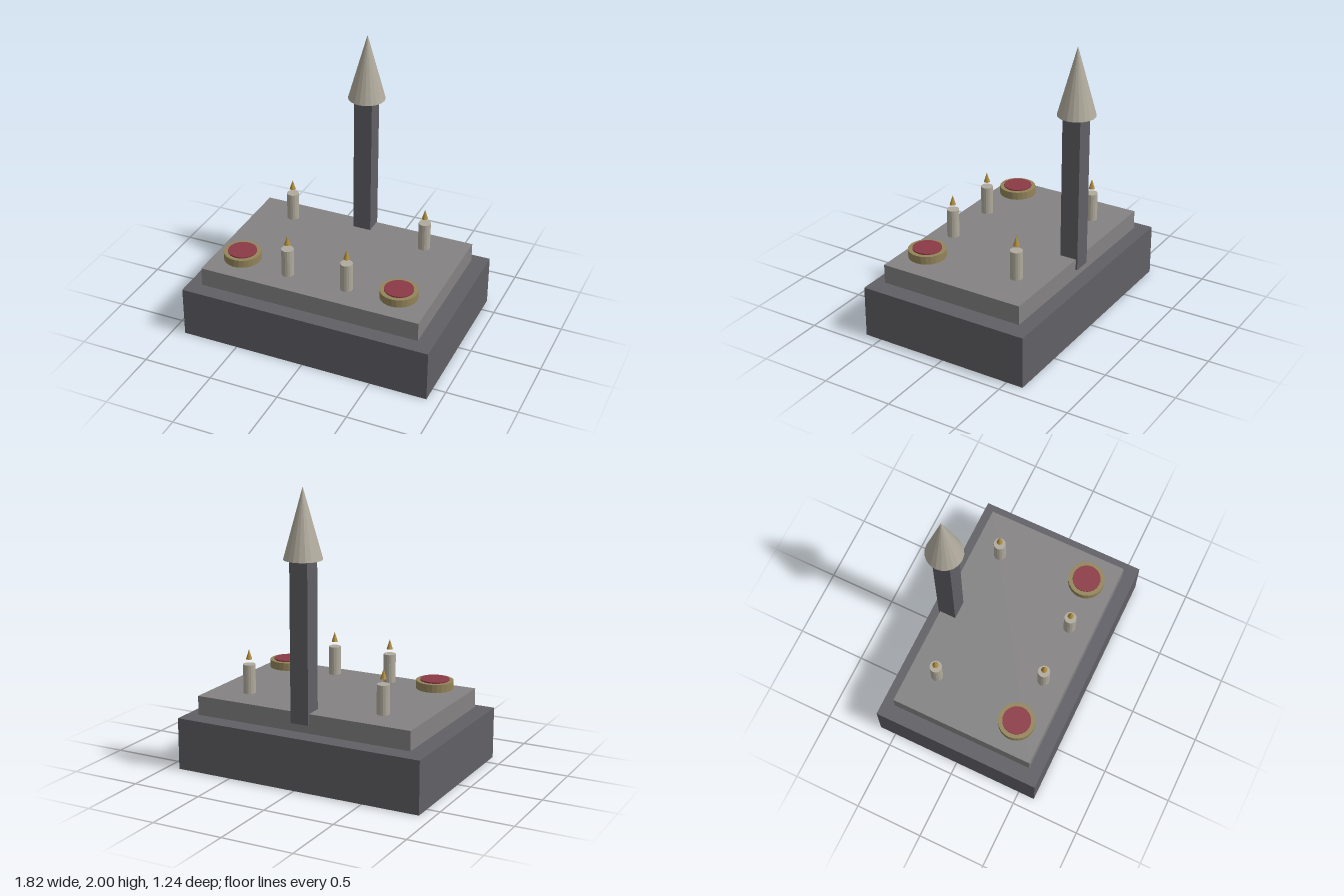
import * as THREE from 'three';

const material = (color) => new THREE.MeshStandardMaterial({ color, flatShading: true });

export function createModel() {
  const model = new THREE.Group();
  const darkStone = material(0x5f5f65);
  const paleStone = material(0x848282);
  const wax = material(0xb0aa9c);
  const brass = material(0x93845a);
  const flameGold = material(0xb08d3c);
  const red = material(0x8b3a45);

  const add = (name, geometry, mat, x, y, z, parent = model) => {
    const mesh = new THREE.Mesh(geometry, mat);
    mesh.name = name;
    mesh.position.set(x, y, z);
    parent.add(mesh);
    return mesh;
  };
  // Boxes and round parts are placed by their bottom and top heights
  const box = (name, w, y0, y1, d, mat, z = 0) =>
    add(name, new THREE.BoxGeometry(w, y1 - y0, d), mat, 0, (y0 + y1) / 2, z);
  const round = (name, rTop, rBottom, y0, y1, sides, mat, x, z, parent) =>
    add(name, new THREE.CylinderGeometry(rTop, rBottom, y1 - y0, sides), mat, x, (y0 + y1) / 2, z, parent);

  // Plinth and raised slab
  box('base', 1.815, 0, 0.365, 1.24, darkStone);
  box('slab', 1.6, 0.38, 0.515, 1.055, paleStone);

  // Short feet between base and slab
  for (const x of [-0.655, 0.655])
    for (const z of [-0.36, 0.36])
      round('foot', 0.087, 0.087, 0.01, 0.385, 20, darkStone, x, z);

  // Spire at the back
  box('pillar', 0.132, 0.437, 1.53, 0.132, darkStone, -0.473);
  round('spireTip', 0, 0.13, 1.53, 2, 20, wax, 0, -0.475);

  for (const side of [-1, 1]) {
    // Candles with flames
    for (const [x, z] of [[0.509, -0.329], [0.218, 0.361]]) {
      const candle = new THREE.Group();
      candle.name = 'candle';
      candle.position.set(side * x, 0, z);
      round('candleBody', 0.043, 0.043, 0.528, 0.73, 16, wax, 0, 0, candle);
      round('flame', 0, 0.022, 0.765, 0.835, 10, flameGold, 0, 0, candle);
      model.add(candle);
    }

    // Dishes with a red filling
    const dish = new THREE.Group();
    dish.name = 'offeringDish';
    dish.position.set(side * 0.582, 0, 0.326);
    round('dish', 0.13, 0.13, 0.543, 0.599, 24, brass, 0, 0, dish);
    round('dishFilling', 0.1, 0.1, 0.58, 0.608, 24, red, 0, 0, dish);
    model.add(dish);
  }

  return model;
}
